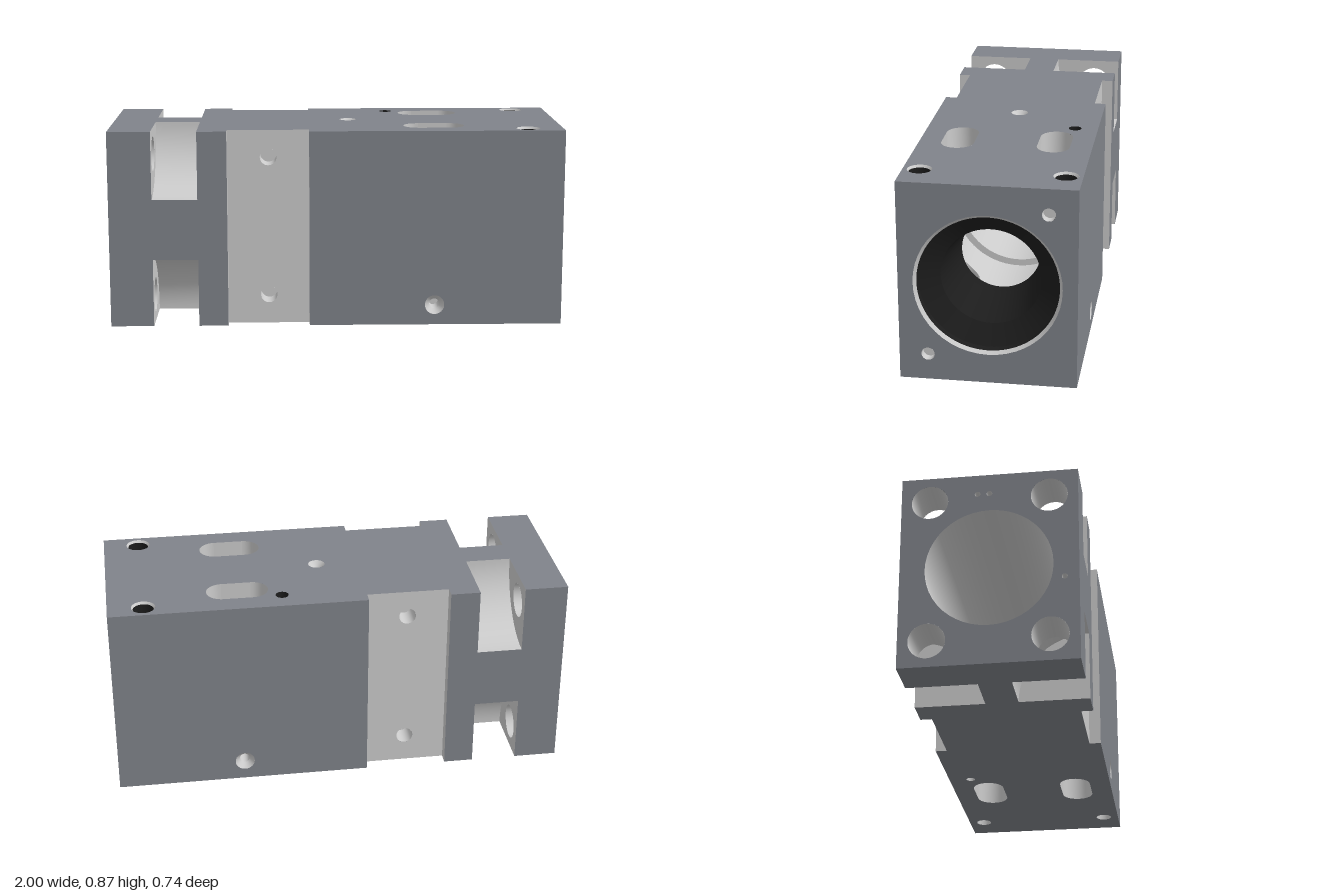
import * as THREE from 'three';
import { mergeVertices } from 'three/addons/utils/BufferGeometryUtils.js';

const H = 0.87, YC = H / 2, W = 0.37;          // height, bore axis, half depth
const BORE = 0.265, WIDE = 0.295;              // bore radii
const NOTCH = { x0: -0.81, x1: -0.61, r: 0.3 };
const SLOT = { x: 0.435, z: 0.205, r: 0.07, half: 0.065 };
const SIDE_HOLE = { x: 0.435, y: 0.09, r: 0.022 };

const material = (color) => new THREE.MeshStandardMaterial({ color, side: THREE.DoubleSide });

export function createModel() {
  const model = new THREE.Group();
  model.name = 'machinedBlock';
  const skin = material(0x80838a), metal = material(0xcccccc), black = material(0x1c1c1c);

  const add = (parent, name, geometry, mat) => {
    const mesh = new THREE.Mesh(geometry, mat);
    mesh.name = name;
    parent.add(mesh);
    return mesh;
  };

  // Shape helpers
  const poly = (points) => new THREE.Shape(points.map(([u, v]) => new THREE.Vector2(u, v)));
  const rect = (u0, v0, u1, v1) => poly([[u0, v0], [u1, v0], [u1, v1], [u0, v1]]);
  const circle = (u, v, r) => new THREE.Shape().absarc(u, v, r, 0, Math.PI * 2, false);
  const cut = (shape, ...circles) => {
    circles.forEach(([u, v, r]) => shape.holes.push(circle(u, v, r)));
    return shape;
  };

  // Flat face across an axis: shape is (z, y) for x, (x, z) for y, (x, y) for z
  const plate = (parent, name, shape, axis, offset, mat) => {
    const g = new THREE.ShapeGeometry(shape, 24);
    if (axis === 'x') g.rotateY(-Math.PI / 2).translate(offset, 0, 0);
    if (axis === 'y') g.rotateX(Math.PI / 2).translate(0, offset, 0);
    if (axis === 'z') g.translate(0, 0, offset);
    return add(parent, name, g, mat);
  };

  // Ruled surface between two point lists
  const strip = (parent, name, a, b, mat) => {
    const pos = [], index = [];
    a.forEach((p, i) => {
      pos.push(...p, ...b[i]);
      if (i) index.push(2 * i - 2, 2 * i - 1, 2 * i, 2 * i, 2 * i - 1, 2 * i + 1);
    });
    let g = new THREE.BufferGeometry();
    g.setAttribute('position', new THREE.Float32BufferAttribute(pos, 3));
    g.setIndex(index);
    g = mergeVertices(g, 1e-5);
    g.computeVertexNormals();
    return add(parent, name, g, mat);
  };

  const sample = (n, t0, t1, f) => Array.from({ length: n + 1 }, (_, i) => f(t0 + (t1 - t0) * i / n));
  const place = { x: (u, v, w) => [w, v, u], y: (u, v, w) => [u, w, v], z: (u, v, w) => [u, v, w] };

  // Round hole wall along an axis, optionally closed by a floor
  const hole = (parent, name, axis, u, v, r0, r1, w0, w1, mat, floor) => {
    const ring = (r, w) => sample(32, 0, Math.PI * 2, (t) =>
      place[axis](u + r * Math.cos(t), v + r * Math.sin(t), w));
    strip(parent, name, ring(r0, w0), ring(r1, w1), mat);
    if (floor) plate(parent, name + 'Floor', circle(u, v, r1), axis, w1, floor);
  };

  // Front and back skins with side recesses
  const { x0, x1, r: nr } = NOTCH, R0 = -0.48, R1 = -0.12, RZ = 0.32;
  for (const s of [-1, 1]) {
    plate(model, 'flangeSide', poly([[-1, 0], [x0, 0], [x0, nr], [x1, nr], [x1, 0], [R0, 0],
      [R0, H], [x1, H], [x1, H - nr], [x0, H - nr], [x0, H], [-1, H]]), 'z', s * W, skin);
    plate(model, 'bodySide', cut(rect(R1, 0, 1, H), [SIDE_HOLE.x, SIDE_HOLE.y, 0.043]), 'z', s * W, skin);
    plate(model, 'recessFace', cut(rect(R0, 0, R1, H), [-0.3, 0.13, 0.037], [-0.3, 0.75, 0.037]), 'z', s * RZ, metal);
    for (const x of [R0, R1]) plate(model, 'recessStep', rect(s * RZ, 0, s * W, H), 'x', x, metal);
    for (const y of [0.13, 0.75]) hole(model, 'recessHole', 'z', -0.3, y, 0.037, 0.037, s * RZ, s * 0.22, metal, metal);
    hole(model, 'sideCountersink', 'z', SIDE_HOLE.x, SIDE_HOLE.y, 0.043, SIDE_HOLE.r, s * W, s * 0.345, metal);
    hole(model, 'sideHole', 'z', SIDE_HOLE.x, SIDE_HOLE.y, SIDE_HOLE.r, SIDE_HOLE.r, s * 0.345, s * 0.275, metal);
  }
  hole(model, 'crossHole', 'z', SIDE_HOLE.x, SIDE_HOLE.y, SIDE_HOLE.r, SIDE_HOLE.r, -0.135, 0.135, metal);

  // Top and bottom skins
  const edge = [[-1, W], [x0, W], [x0, W - nr], [x1, W - nr], [x1, W], [R0, W], [R0, RZ], [R1, RZ], [R1, W], [1, W]];
  const deck = (...circles) => {
    const shape = cut(poly([...edge, ...edge.map(([x, z]) => [x, -z]).reverse()]), ...circles);
    for (const s of [-1, 1]) {
      const path = new THREE.Path();
      path.absarc(SLOT.x + SLOT.half, s * SLOT.z, SLOT.r, -Math.PI / 2, Math.PI / 2, false);
      path.absarc(SLOT.x - SLOT.half, s * SLOT.z, SLOT.r, Math.PI / 2, Math.PI * 1.5, false);
      path.closePath();
      shape.holes.push(path);
    }
    return shape;
  };
  plate(model, 'topFace', deck([0.845, 0.3, 0.052], [0.845, -0.3, 0.052], [0.245, -0.27, 0.028], [0.06, 0, 0.037]), 'y', H, skin);
  plate(model, 'bottomFace', deck([0.845, 0.3, 0.035], [0.845, -0.3, 0.035], [0.245, -0.27, 0.02]), 'y', 0, skin);
  for (const z of [-0.3, 0.3]) {
    hole(model, 'screwHoleRim', 'y', 0.845, z, 0.052, 0.045, H, H - 0.01, metal);
    hole(model, 'screwHole', 'y', 0.845, z, 0.045, 0.045, H - 0.01, H - 0.05, black, black);
    hole(model, 'bottomHole', 'y', 0.845, z, 0.035, 0.035, 0, 0.1, metal, metal);
  }
  hole(model, 'pinHole', 'y', 0.245, -0.27, 0.028, 0.028, H, H - 0.05, black, black);
  hole(model, 'bottomPinHole', 'y', 0.245, -0.27, 0.02, 0.02, 0, 0.1, metal, metal);
  hole(model, 'oilCountersink', 'y', 0.06, 0, 0.037, 0.015, H, H - 0.025, metal);
  hole(model, 'oilHole', 'y', 0.06, 0, 0.015, 0.015, H - 0.025, H - 0.1, metal, metal);

  // End faces with their small holes
  const bolt = { y: 0.32, z: 0.25, r: 0.077 };
  const bolts = [[1, 1], [1, -1], [-1, 1], [-1, -1]].map(([a, b]) => [a * bolt.z, YC + b * bolt.y, bolt.r]);
  const dowels = [[-0.05, 0.78, 0.012], [0, 0.78, 0.012], [0.31, 0.37, 0.012]];
  const pins = [[0.25, 0.115, 0.028], [-0.25, 0.76, 0.028]];
  plate(model, 'leftEnd', cut(rect(-W, 0, W, H), [0, YC, BORE], ...bolts, ...dowels), 'x', -1, skin);
  plate(model, 'rightEnd', cut(rect(-W, 0, W, H), [0, YC, 0.308], ...pins), 'x', 1, skin);
  for (const [z, y, r] of dowels) hole(model, 'dowelHole', 'x', z, y, r, r, -1, -0.95, metal, metal);
  for (const [z, y, r] of pins) hole(model, 'endHole', 'x', z, y, r, r, 1, 0.96, metal, metal);

  // Turned surfaces along the bore, one crisp band per pair of (radius, x)
  const turned = (name, profile, mat) => {
    for (let i = 1; i < profile.length; i++) {
      const band = profile.slice(i - 1, i + 1).map(([r, x]) => new THREE.Vector2(r, x));
      const mesh = add(model, name, new THREE.LatheGeometry(band, 96), mat);
      mesh.rotation.z = -Math.PI / 2;
      mesh.position.y = YC;
    }
  };
  turned('bore', [[BORE, -1], [BORE, 0.1], [WIDE, 0.1]], metal);
  turned('boreChamfer', [[0.308, 1], [WIDE, 0.985]], metal);
  turned('sleeve', [[WIDE, 0.985], [WIDE, 0.95], [0.21, 0.9], [0.17, 0.67], [0.17, 0.62], [WIDE, 0.62]], black);

  // Parts repeated in each quadrant around the bore axis
  for (const sy of [-1, 1]) for (const sz of [-1, 1]) {
    const q = new THREE.Group();
    q.name = 'quadrant';
    q.position.y = YC;
    q.scale.set(1, sy, sz);
    model.add(q);

    // Corner notch and bolt hole
    const arc = (x) => sample(24, 0, Math.PI / 2, (t) => [x, YC - nr * Math.cos(t), W - nr * Math.sin(t)]);
    strip(q, 'notchCurve', arc(x0), arc(x1), metal);
    const quarter = () => poly([[W, YC], ...arc(0).map(([, y, z]) => [z, y])]);
    plate(q, 'notchWall', cut(quarter(), [bolt.z, bolt.y, bolt.r]), 'x', x0, metal);
    plate(q, 'notchWall', quarter(), 'x', x1, metal);
    hole(q, 'boltHole', 'x', bolt.z, bolt.y, bolt.r, bolt.r, -1, x0, metal);

    // Bore wall opened by the slot
    const boreY = (z) => Math.sqrt(WIDE * WIDE - z * z);
    const zs = [SLOT.z - SLOT.r, SLOT.z + SLOT.r];
    const angles = [0, ...zs.map((z) => Math.asin(z / WIDE)), Math.PI / 2];
    for (let k = 0; k < 3; k++) for (const [s, end] of [[-1, 0.1], [1, 0.62]]) {
      const row = (f) => sample(16, angles[k], angles[k + 1], (t) => {
        const z = WIDE * Math.sin(t);
        return [f(z), WIDE * Math.cos(t), z];
      });
      const gap = (z) => k === 1 ? SLOT.half + Math.sqrt(Math.max(0, SLOT.r ** 2 - (z - SLOT.z) ** 2)) : 0;
      strip(q, 'slottedBore', row(() => end), row((z) => SLOT.x + s * gap(z)), metal);
    }

    // Slot walls: round ends and straight sides
    for (const s of [-1, 1]) {
      const bend = (y) => sample(20, -Math.PI / 2, Math.PI / 2, (t) => {
        const z = SLOT.z + SLOT.r * Math.sin(t);
        return [SLOT.x + s * (SLOT.half + SLOT.r * Math.cos(t)), y(z), z];
      });
      strip(q, 'slotEnd', bend(() => YC), bend(boreY), metal);
    }
    for (const z of zs) {
      const wall = rect(SLOT.x - SLOT.half, boreY(z), SLOT.x + SLOT.half, YC);
      if (sy < 0) cut(wall, [SIDE_HOLE.x, YC - SIDE_HOLE.y, SIDE_HOLE.r]);
      plate(q, 'slotSide', wall, 'z', z, metal);
    }
  }
  return model;
}
